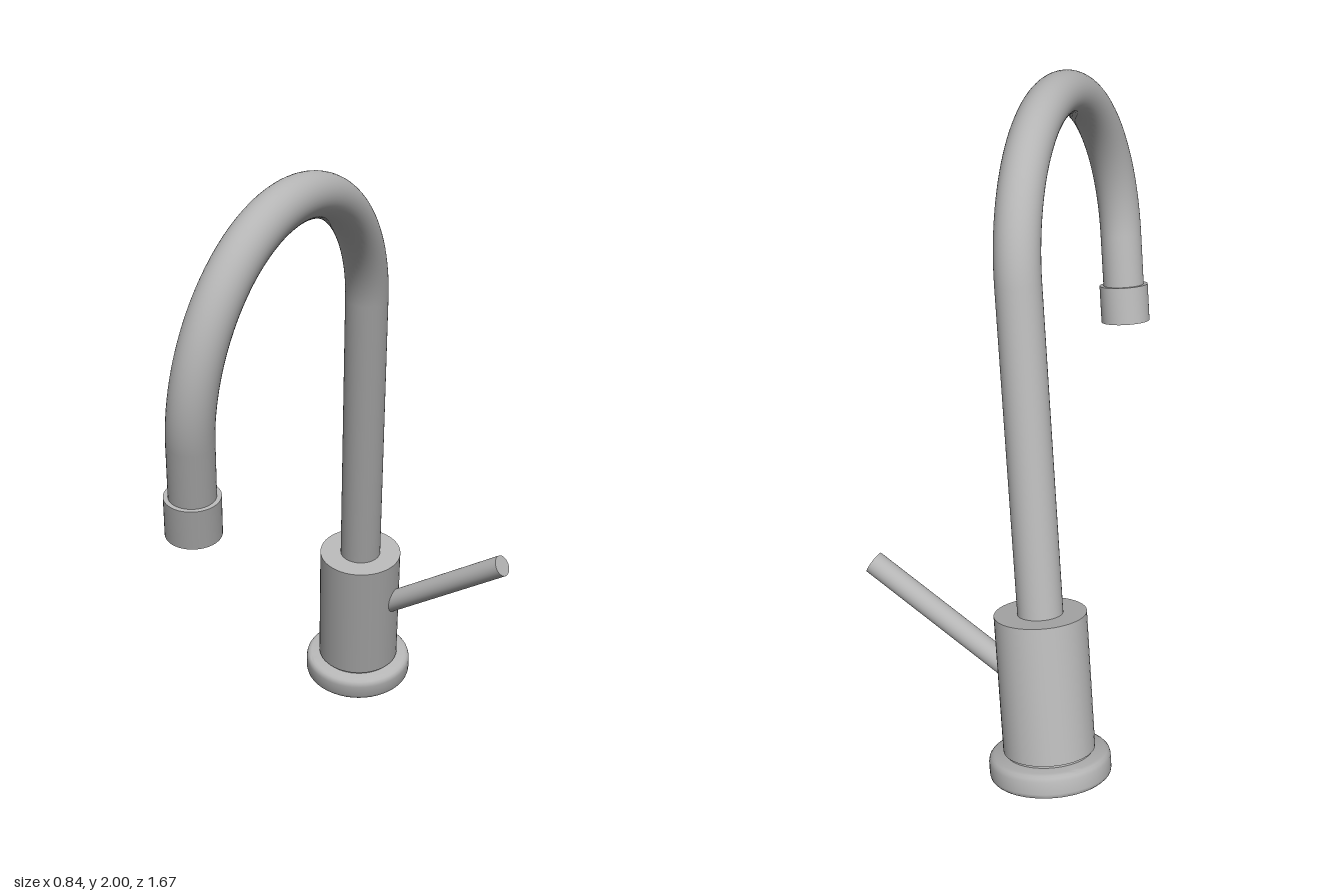
import * as THREE from 'three';
import { toCreasedNormals } from 'three/addons/utils/BufferGeometryUtils.js';

const PIPE = 0.071;      // pipe radius
const BEND = 0.525;      // radius of the gooseneck bend
const BEND_Y = 1.55;     // height at which the bend starts
const TIP_Y = 1.243;     // height of the outlet

export function createModel() {
  const metal = new THREE.MeshStandardMaterial({ color: 0xb4b4b4 });
  metal.name = 'brushed metal';

  const faucet = new THREE.Group();
  faucet.name = 'faucet';

  const add = (name, geometry, x = 0, y = 0, z = 0) => {
    const mesh = new THREE.Mesh(geometry, metal);
    mesh.name = name;
    mesh.position.set(x, y, z);
    faucet.add(mesh);
    return mesh;
  };
  // Turned part from [radius, height] pairs, keeping sharp edges
  const turned = (points) => toCreasedNormals(
    new THREE.LatheGeometry(points.map(([r, y]) => new THREE.Vector2(r, y)), 48), 0.6);
  // Straight open pipe between two heights
  const pipe = (y0, y1) => new THREE.CylinderGeometry(PIPE, PIPE, y1 - y0, 40, 1, true)
    .translate(0, (y0 + y1) / 2, 0);

  // Base flange with a softened rim
  add('baseFlange', turned([
    [0, 0], [0.183, 0], [0.189, 0.006], [0.191, 0.015], [0.191, 0.055],
    [0.188, 0.066], [0.182, 0.073], [0.173, 0.077], [0, 0.077],
  ]));

  // Body on a narrow neck
  add('body', turned([
    [0.136, 0.07], [0.136, 0.086], [0.144, 0.086], [0.144, 0.53], [0, 0.53],
  ]));

  // Gooseneck: riser, half-circle bend and drop
  add('riser', pipe(0.5, BEND_Y));
  add('bend', new THREE.TorusGeometry(BEND, PIPE, 40, 64, Math.PI).rotateY(-Math.PI / 2),
    0, BEND_Y, BEND);
  add('drop', pipe(TIP_Y + 0.1, BEND_Y), 0, 0, 2 * BEND);

  // Outlet sleeve with a recessed opening
  add('outletSleeve', turned([
    [0, 0.1], [0.058, 0.1], [0.058, 0], [0.085, 0], [0.085, 0.13], [PIPE - 0.005, 0.13],
  ]), 0, TIP_Y, 2 * BEND);

  // Side lever, rising away from the body
  const start = new THREE.Vector3(0.1, 0.333, 0);
  const end = new THREE.Vector3(0.55, 0.667, 0);
  const along = end.clone().sub(start);
  const lever = add('lever', new THREE.CylinderGeometry(0.037, 0.037, along.length(), 32));
  lever.position.copy(start).add(end).multiplyScalar(0.5);
  lever.quaternion.setFromUnitVectors(new THREE.Vector3(0, 1, 0), along.normalize());

  // Lean the whole faucet forward and to its left
  const up = new THREE.Vector3(0.1455, 0.9575, 0.249).normalize();
  const side = new THREE.Vector3().crossVectors(up, new THREE.Vector3(-0.039, -0.246, 0.9686)).normalize();
  const forward = new THREE.Vector3().crossVectors(side, up);
  faucet.quaternion.setFromRotationMatrix(new THREE.Matrix4().makeBasis(side, up, forward));
  faucet.position.set(-0.238, 0.055, -0.652);

  const model = new THREE.Group();
  model.name = 'model';
  model.add(faucet);
  return model;
}
